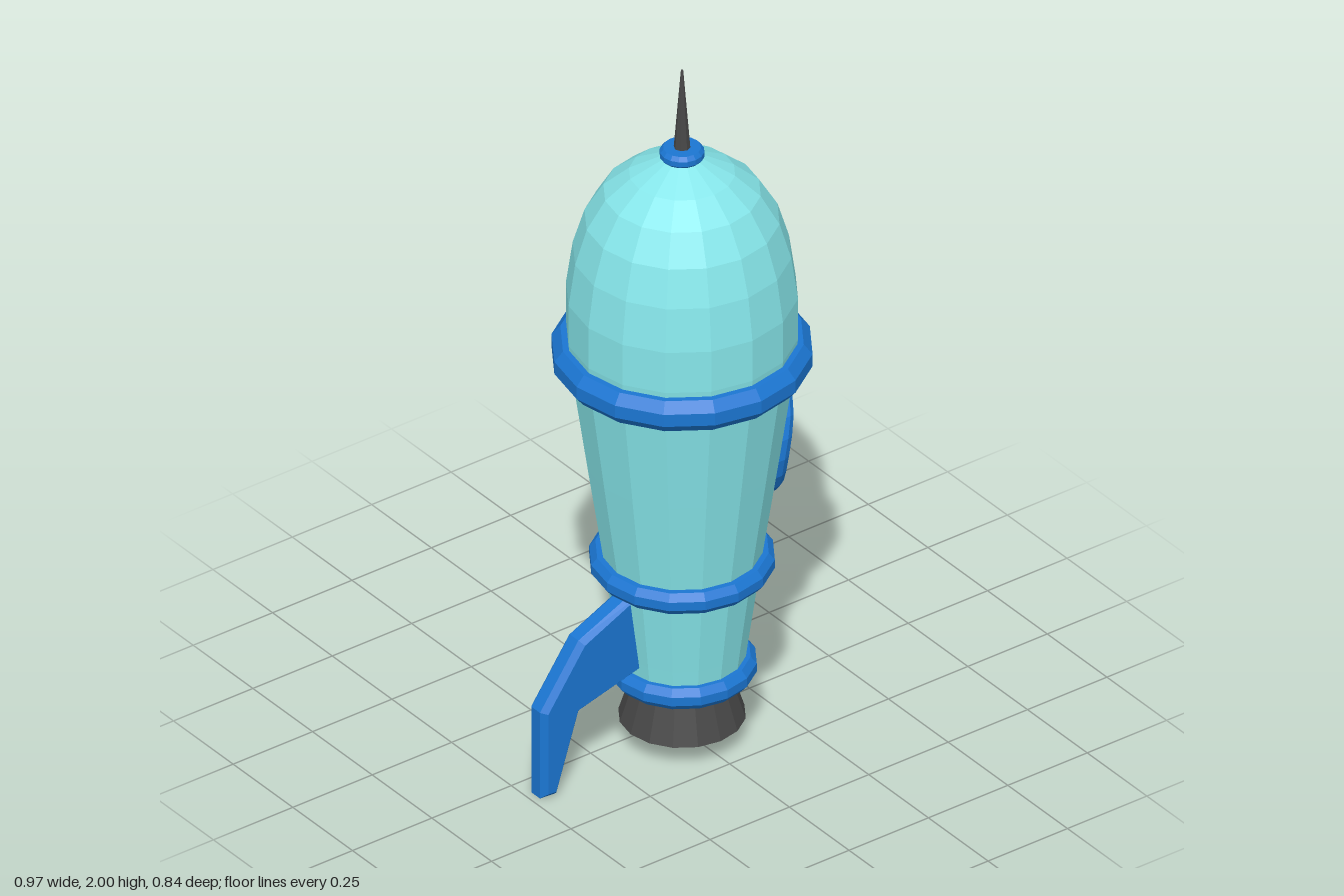
import * as THREE from 'three';

const SIDES = 16;
const mat = (color, side = THREE.FrontSide) =>
  new THREE.MeshStandardMaterial({ color, flatShading: true, side });

export function createModel() {
  const group = new THREE.Group();
  const rocket = new THREE.Group();
  rocket.name = 'rocket';
  rocket.position.set(-0.02, 0, 0.077);
  group.add(rocket);

  const hullMat = mat(0x86e6ea);
  const trimMat = mat(0x1b76d2);
  const darkMat = mat(0x484848);
  const glassMat = mat(0x3a3a3a, THREE.DoubleSide);

  const add = (name, geometry, material) => {
    const mesh = new THREE.Mesh(geometry, material);
    mesh.name = name;
    rocket.add(mesh);
    return mesh;
  };
  const lathe = (points) =>
    new THREE.LatheGeometry(points.map(([r, y]) => new THREE.Vector2(r, y)), SIDES);

  // Hull: tapering lower body and domed nose
  add('hull', lathe([
    [0, 0.2], [0.155, 0.2], [0.168, 0.3], [0.205, 0.57], [0.245, 0.84], [0.285, 1.12],
    [0.295, 1.22], [0.295, 1.34], [0.278, 1.46], [0.248, 1.56], [0.2, 1.64],
    [0.135, 1.695], [0.05, 1.74], [0, 1.75],
  ]), hullMat);

  // Chamfered bands: outer radius, centre height, half height, depth
  const bands = [
    ['shoulderBand', 0.332, 1.16, 0.045, 0.07],
    ['waistBand', 0.236, 0.54, 0.031, 0.06],
    ['baseBand', 0.19, 0.225, 0.031, 0.06],
    ['noseBand', 0.057, 1.752, 0.018, 0.05],
  ];
  for (const [name, r, y, h, d] of bands) {
    const c = h * 0.5;
    add(name, lathe([
      [r - d, y - h], [r - c, y - h], [r, y - h * 0.4], [r, y + h * 0.4],
      [r - c, y + h], [r - d, y + h], [r - d, y - h],
    ]), trimMat);
  }

  // Engine nozzle and nose spike
  add('nozzle', new THREE.CylinderGeometry(0.115, 0.162, 0.15, SIDES), darkMat).position.y = 0.145;
  add('noseSpike', new THREE.CylinderGeometry(0.003, 0.022, 0.24, 8), darkMat).position.y = 1.88;

  // Fins: bevelled plates pointing outwards from the hull
  const addFin = (name, outline, angle) => {
    const shape = new THREE.Shape(outline.map(([x, y]) => new THREE.Vector2(x, y)));
    const bevel = 0.015;
    const geometry = new THREE.ExtrudeGeometry(shape, {
      depth: 0.036, bevelEnabled: true, bevelSegments: 1,
      bevelSize: bevel, bevelThickness: bevel, bevelOffset: -bevel,
    });
    geometry.translate(0, 0, -0.018);
    add(name, geometry, trimMat).rotation.y = angle;
  };
  addFin('rightFin', [
    [0.12, 0.28], [0.34, 0.22], [0.41, 0], [0.461, 0.003],
    [0.461, 0.26], [0.34, 0.43], [0.12, 0.53],
  ], Math.PI);
  addFin('rearLeftFin', [
    [0.1, 0.455], [0.285, 0.303], [0.46, 0.397], [0.685, 0.352],
    [0.706, 0.39], [0.475, 0.548], [0.1, 0.555],
  ], Math.PI / 4);

  // Porthole wrapped onto the +x side of the hull
  const windowSides = 20;
  const wrap = (radius, angle, lift, target) => {
    const y = 0.84 + radius * Math.sin(angle);
    const z = radius * Math.cos(angle);
    const hullRadius = 0.205 + (y - 0.57) * 0.1455;
    target.set(Math.sqrt(hullRadius ** 2 - z ** 2) + lift, y, z);
  };
  // Sweep a list of [radius, lift] steps around the porthole
  const wrappedSurface = (steps) => {
    const geometry = new THREE.PlaneGeometry(1, 1, windowSides, steps.length - 1);
    const pos = geometry.attributes.position;
    const p = new THREE.Vector3();
    for (let i = 0; i < pos.count; i++) {
      const [radius, lift] = steps[Math.floor(i / (windowSides + 1))];
      wrap(radius, ((i % (windowSides + 1)) / windowSides) * Math.PI * 2, lift, p);
      pos.setXYZ(i, p.x, p.y, p.z);
    }
    geometry.computeVertexNormals();
    return geometry;
  };
  const frameMat = mat(0x1b76d2, THREE.DoubleSide);
  add('portholeFrame', wrappedSurface([
    [0.138, -0.01], [0.138, 0.022], [0.145, 0.032], [0.157, 0.032], [0.167, 0.02], [0.167, -0.02],
  ]), frameMat);
  add('portholeGlass', wrappedSurface([[0.0001, 0.024], [0.07, 0.024], [0.14, 0.024]]), glassMat);

  return group;
}
